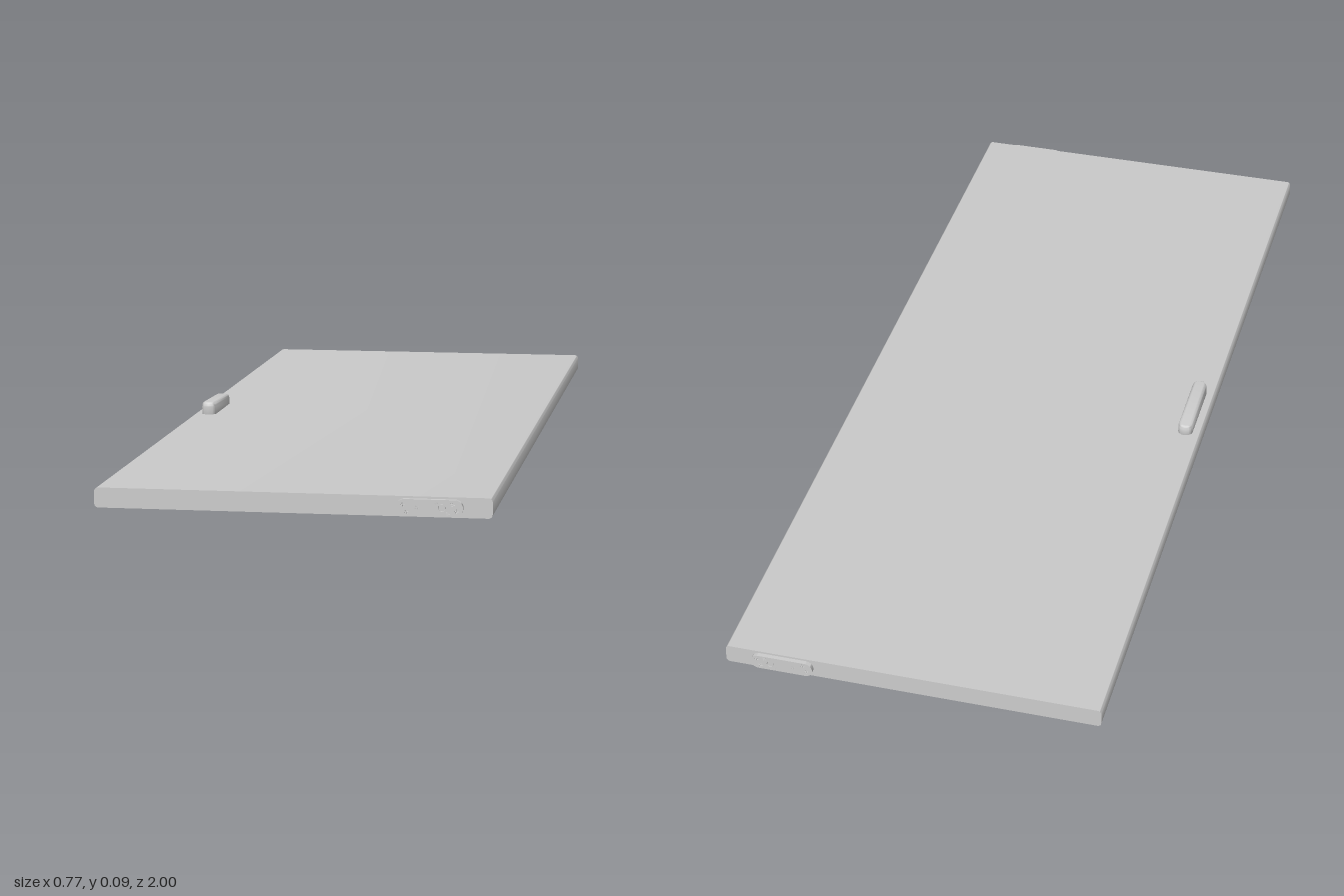
import * as THREE from 'three';
import { toCreasedNormals } from 'three/addons/utils/BufferGeometryUtils.js';

const grey = new THREE.MeshStandardMaterial({ color: 0xcccccc });

function part(name, geometry) {
  const mesh = new THREE.Mesh(toCreasedNormals(geometry, 0.6), grey);
  mesh.name = name;
  return mesh;
}

// Pill outline, long along x, centred on the origin
function pill(halfLength, r) {
  const s = new THREE.Shape();
  const c = halfLength - r;
  s.moveTo(-c, -r);
  s.lineTo(c, -r);
  s.absarc(c, 0, r, -Math.PI / 2, Math.PI / 2, false);
  s.lineTo(-c, r);
  s.absarc(-c, 0, r, Math.PI / 2, Math.PI * 1.5, false);
  return s;
}

function roundedRect(w, h, r) {
  const s = new THREE.Shape();
  const x = w / 2 - r, y = h / 2 - r;
  s.absarc(x, y, r, 0, Math.PI / 2, false);
  s.absarc(-x, y, r, Math.PI / 2, Math.PI, false);
  s.absarc(-x, -y, r, Math.PI, Math.PI * 1.5, false);
  s.absarc(x, -y, r, Math.PI * 1.5, Math.PI * 2, false);
  s.closePath();
  return s;
}

// Plus-shaped screw recess
function crossHole(x, y, angle, a = 0.0042, b = 0.0011) {
  const pts = [];
  for (let i = 0; i < 4; i++) {
    for (const [u, v] of [[a, -b], [a, b], [b, b]]) {
      const p = new THREE.Vector2(u, v);
      p.rotateAround(new THREE.Vector2(), angle + i * Math.PI / 2);
      pts.push(p.add(new THREE.Vector2(x, y)));
    }
  }
  return new THREE.Path(pts);
}

// Pivot plate set on the end of the panel, facing +z
function createPivotPlate() {
  const group = new THREE.Group();
  group.name = 'pivotPlate';
  const shape = pill(0.0635, 0.0155);
  const screws = [[-0.051, 0.005], [-0.044, -0.009], [-0.024, 0],
    [0.013, 0.011], [0.035, -0.01], [0.044, 0.007], [0.051, -0.006]];
  screws.forEach(([x, y], i) => shape.holes.push(crossHole(x, y, 0.25 + i * 0.2)));
  const hole = new THREE.Path();
  hole.absarc(0.0235, 0, 0.007, 0, Math.PI * 2, true);
  shape.holes.push(hole);
  group.add(part('plate', new THREE.ExtrudeGeometry(shape,
    { depth: 0.01, bevelEnabled: false, curveSegments: 16 })));

  // Pin sitting slightly below the plate face
  const pin = part('pivotPin', new THREE.CylinderGeometry(0.0062, 0.0062, 0.009, 24));
  pin.rotation.x = Math.PI / 2;
  pin.position.set(0.0235, 0, 0.0045);
  group.add(pin);
  return group;
}

// Pull handle: bevelled pill standing on y = 0, higher towards +z
function createHandle() {
  const bevel = 0.007, h = 0.026;
  const g = new THREE.ExtrudeGeometry(pill(0.087 - bevel, 0.016 - bevel), {
    depth: h - 0.010, bevelSize: bevel, bevelThickness: 0.010, bevelSegments: 5, curveSegments: 12,
  });
  g.rotateX(-Math.PI / 2);
  g.rotateY(-Math.PI / 2);
  const p = g.attributes.position;
  for (let i = 0; i < p.count; i++) {
    const y = p.getY(i);
    if (y > 0) p.setY(i, y * (0.95 + p.getZ(i) * 1.2));
  }
  g.computeVertexNormals();
  return part('handle', g);
}

export function createModel() {
  const model = new THREE.Group();
  model.name = 'doorLeaf';
  const midY = 0.0485, thickness = 0.039, halfLength = 0.991;

  // Panel lying flat, with rounded long edges
  const panel = part('panel', new THREE.ExtrudeGeometry(roundedRect(0.766, thickness, 0.008),
    { depth: halfLength * 2, bevelEnabled: false, curveSegments: 8 }));
  panel.position.set(0, midY, -halfLength);
  model.add(panel);

  // Pivot plates on both ends, the back one turned round
  const front = createPivotPlate();
  front.position.set(0.2645, midY, 0.99);
  const back = createPivotPlate();
  back.rotation.x = Math.PI;
  back.position.set(0.2645, midY, -0.99);
  model.add(front, back);

  // Handles on both faces, the lower one turned about x
  const top = createHandle();
  top.name = 'upperHandle';
  top.position.set(-0.349, midY + thickness / 2, 0.002);
  const bottom = createHandle();
  bottom.name = 'lowerHandle';
  bottom.rotation.x = Math.PI;
  bottom.position.set(-0.349, midY - thickness / 2, 0.002);
  model.add(top, bottom);
  return model;
}
